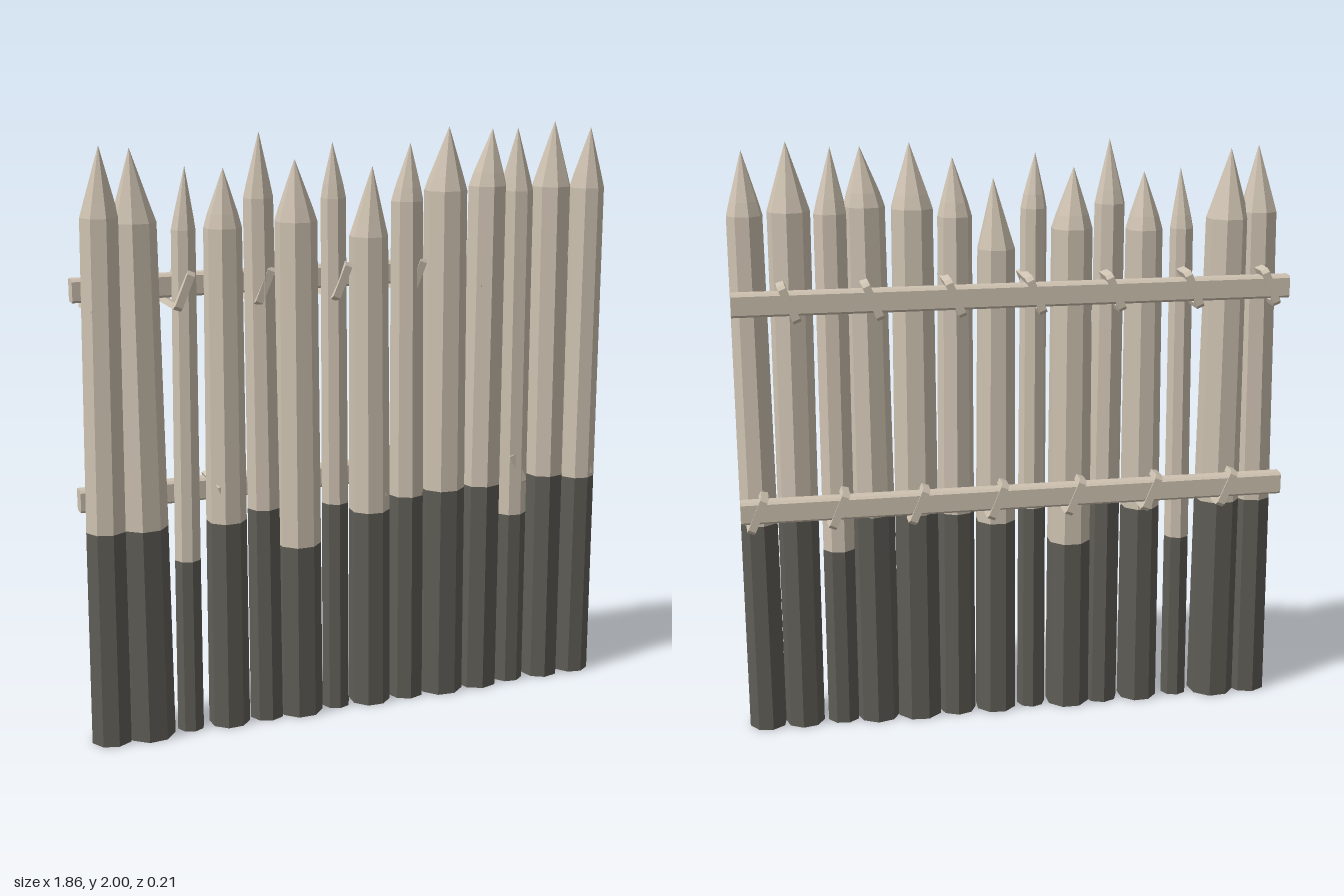
import * as THREE from 'three';

const SIDES = 8;

// Faceted log skin from rings of [x, y, z, radius]; optional floor cap
function loft(rings, turn, capped) {
  const pos = [];
  const pt = ([x, y, z, r], i) => {
    const a = turn + (i / SIDES) * Math.PI * 2;
    return [x + Math.sin(a) * r, y, z + Math.cos(a) * r];
  };
  for (let k = 0; k < rings.length - 1; k++) {
    const lo = rings[k], hi = rings[k + 1];
    for (let i = 0; i < SIDES; i++) {
      const a = pt(lo, i), b = pt(lo, i + 1), c = pt(hi, i + 1), d = pt(hi, i);
      pos.push(...a, ...b, ...c);
      if (hi[3] > 0) pos.push(...a, ...c, ...d);
    }
  }
  if (capped) {
    const [x, y, z] = rings[0];
    for (let i = 0; i < SIDES; i++) pos.push(x, y, z, ...pt(rings[0], i + 1), ...pt(rings[0], i));
  }
  const g = new THREE.BufferGeometry();
  g.setAttribute('position', new THREE.Float32BufferAttribute(pos, 3));
  g.computeVertexNormals();
  return g;
}

// Rectangle outline with cut corners, in (z, y)
function chamfered(PathType, z0, z1, y0, y1, c) {
  return new PathType([
    [z0 + c, y0], [z1 - c, y0], [z1, y0 + c], [z1, y1 - c],
    [z1 - c, y1], [z0 + c, y1], [z0, y1 - c], [z0, y0 + c],
  ].map(([z, y]) => new THREE.Vector2(z, y)));
}

// Extrude a (z, y) outline along x, centred on x = 0
function extrudeX(shape, length) {
  const g = new THREE.ExtrudeGeometry(shape, { depth: length, bevelEnabled: false });
  g.translate(0, 0, -length / 2);
  g.rotateY(-Math.PI / 2);
  return g;
}

export function createModel() {
  const wood = new THREE.MeshStandardMaterial({ color: 0xcfc3b2 });
  wood.name = 'paleWood';
  const tar = new THREE.MeshStandardMaterial({ color: 0x5f5d56 });
  tar.name = 'darkTarredWood';

  const model = new THREE.Group();
  model.name = 'palisade';
  const add = (name, geometry, material, parent = model) => {
    const m = new THREE.Mesh(geometry, material);
    m.name = name;
    parent.add(m);
    return m;
  };

  // Stakes: base left, base right, shoulder left, shoulder right, shoulder y, tip x, tip y, tar line y
  const stakes = [
    [-0.935, -0.80, -0.91, -0.785, 1.74, -0.845, 1.96, 0.73],
    [-0.815, -0.655, -0.81, -0.67, 1.72, -0.75, 1.95, 0.73],
    [-0.64, -0.55, -0.62, -0.54, 1.69, -0.575, 1.89, 0.60],
    [-0.525, -0.39, -0.51, -0.39, 1.69, -0.45, 1.88, 0.72],
    [-0.38, -0.265, -0.38, -0.28, 1.78, -0.33, 1.99, 0.75],
    [-0.275, -0.125, -0.27, -0.135, 1.70, -0.21, 1.90, 0.61],
    [-0.115, -0.02, -0.115, -0.03, 1.77, -0.08, 1.95, 0.74],
    [-0.01, 0.13, -0.01, 0.115, 1.64, 0.06, 1.87, 0.70],
    [0.135, 0.26, 0.135, 0.245, 1.75, 0.195, 1.94, 0.74],
    [0.255, 0.41, 0.26, 0.40, 1.78, 0.335, 1.99, 0.75],
    [0.405, 0.55, 0.42, 0.55, 1.79, 0.495, 1.98, 0.75],
    [0.545, 0.655, 0.54, 0.65, 1.77, 0.59, 1.98, 0.63],
    [0.67, 0.80, 0.66, 0.795, 1.78, 0.73, 2.0, 0.76],
    [0.80, 0.925, 0.81, 0.925, 1.77, 0.87, 1.975, 0.74],
  ];
  stakes.forEach(([bl, br, sl, sr, sy, tx, ty, line], i) => {
    const z = 0.02;
    const base = [(bl + br) / 2, 0, z, (br - bl) * 0.515];
    const top = [(sl + sr) / 2, sy, z, (sr - sl) * 0.515];
    const f = (line / sy) * 0.7;
    const mid = base.map((v, k) => v + (top[k] - v) * f);
    mid[1] = line;
    const bevel = [top[0] * 0.8 + tx * 0.2, sy + 0.045, z + 0.002, top[3] * 0.8];
    const tip = [tx, ty, z + 0.012, 0];
    const turn = 0.12 + (i * 0.37) % 0.785;
    const stake = new THREE.Group();
    stake.name = 'stake' + (i + 1);
    model.add(stake);
    add('stakeFoot', loft([base, mid], turn, true), tar, stake);
    add('stakeShaftAndPoint', loft([mid, top, bevel, tip], turn, false), wood, stake);
  });

  // Two rails behind the stakes
  const rail = extrudeX(chamfered(THREE.Shape, -0.108, -0.055, -0.038, 0.038, 0.008), 1.85);
  add('upperRail', rail, wood).position.y = 1.5;
  add('lowerRail', rail, wood).position.y = 0.808;

  // Slanted lashings, tying alternate stakes to each rail
  const outline = chamfered(THREE.Shape, -0.113, 0.072, -0.066, 0.066, 0.012);
  outline.holes.push(chamfered(THREE.Path, -0.095, 0.054, -0.046, 0.046, 0.008));
  const lashing = extrudeX(outline, 0.026);
  for (let i = 0; i < 7; i++) {
    const offset = -0.86 + i * 0.267;
    const upper = add('upperLashing', lashing, wood);
    upper.position.set(offset, 1.5, 0);
    upper.rotation.z = -0.4;
    const lower = add('lowerLashing', lashing, wood);
    lower.position.set(-offset + 0.01, 0.8, 0);
    lower.rotation.z = 0.4;
  }
  return model;
}
